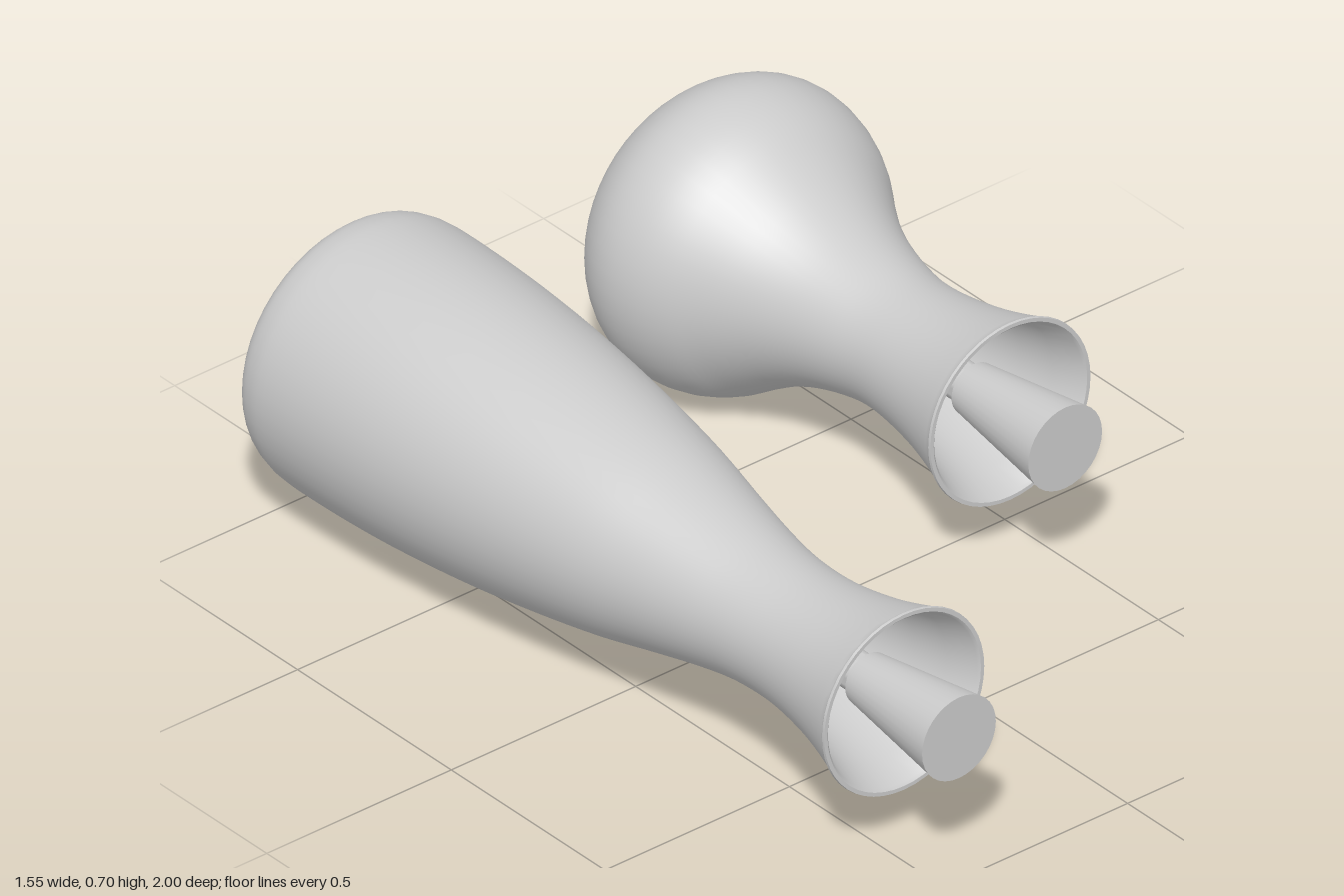
import * as THREE from 'three';
import { toCreasedNormals } from 'three/addons/utils/BufferGeometryUtils.js';

const material = new THREE.MeshStandardMaterial({ color: 0xcccccc, side: THREE.DoubleSide });
const AXIS_Y = 0.353;

const vec = ([r, z]) => new THREE.Vector2(r, z);

// Turned part: profile of [radius, z] points revolved about the z axis
function turned(name, points, segments = 48) {
  const geometry = toCreasedNormals(new THREE.LatheGeometry(points, segments), 0.6);
  geometry.rotateX(Math.PI / 2);
  const mesh = new THREE.Mesh(geometry, material);
  mesh.name = name;
  return mesh;
}

// One handle: hollow-mouthed grip with a tapered plug on a stem.
// rim is the z of the mouth; outline runs from the back to the neck.
function handle(name, x, rim, outline) {
  const group = new THREE.Group();
  group.name = name;
  group.position.set(x, AXIS_Y, 0);

  // Outer skin, smoothed through the outline and the flared neck
  const flare = [[0.151, -0.34], [0.157, -0.25], [0.172, -0.16], [0.192, -0.08], [0.214, -0.012]];
  const skin = new THREE.SplineCurve(
    [...outline, ...flare.map(([r, z]) => [r, rim + z])].map(vec)
  ).getPoints(64);

  // Rounded lip, then the socket wall and floor
  const socket = [
    [0.218, -0.006], [0.217, 0], [0.208, 0], [0.202, -0.006],
    [0.180, -0.08], [0.160, -0.16], [0.146, -0.25], [0.140, -0.32], [0, -0.32],
  ].map(([r, z]) => vec([r, rim + z]));
  group.add(turned('grip', [vec([0, -1]), ...skin, ...socket]));

  // Stem inside the socket
  group.add(turned('stem', [[0.045, -0.32], [0.045, -0.11]].map(([r, z]) => vec([r, rim + z])), 32));

  // Plug widening toward its flat front
  group.add(turned('plug', [[0, -0.12], [0.06, -0.12], [0.1, 0.178], [0, 0.178]]
    .map(([r, z]) => vec([r, rim + z])), 32));
  return group;
}

export function createModel() {
  const model = new THREE.Group();
  model.name = 'handlePair';

  // Long tapering handle with a flat, rounded butt
  model.add(handle('longHandle', -0.457, 0.822, [
    [0.24, -1], [0.275, -0.993], [0.302, -0.97], [0.315, -0.935], [0.32, -0.88],
    [0.318, -0.72], [0.309, -0.55], [0.29, -0.36], [0.265, -0.18], [0.234, 0],
    [0.2, 0.15], [0.172, 0.28], [0.156, 0.38],
  ]));

  // Short handle with a bulbous knob
  model.add(handle('knobHandle', 0.424, 0.11, [
    [0.13, -1], [0.19, -0.99], [0.25, -0.962], [0.304, -0.912], [0.34, -0.85],
    [0.352, -0.785], [0.342, -0.715], [0.315, -0.65], [0.272, -0.585],
    [0.222, -0.5], [0.185, -0.41], [0.16, -0.31],
  ]));
  return model;
}
